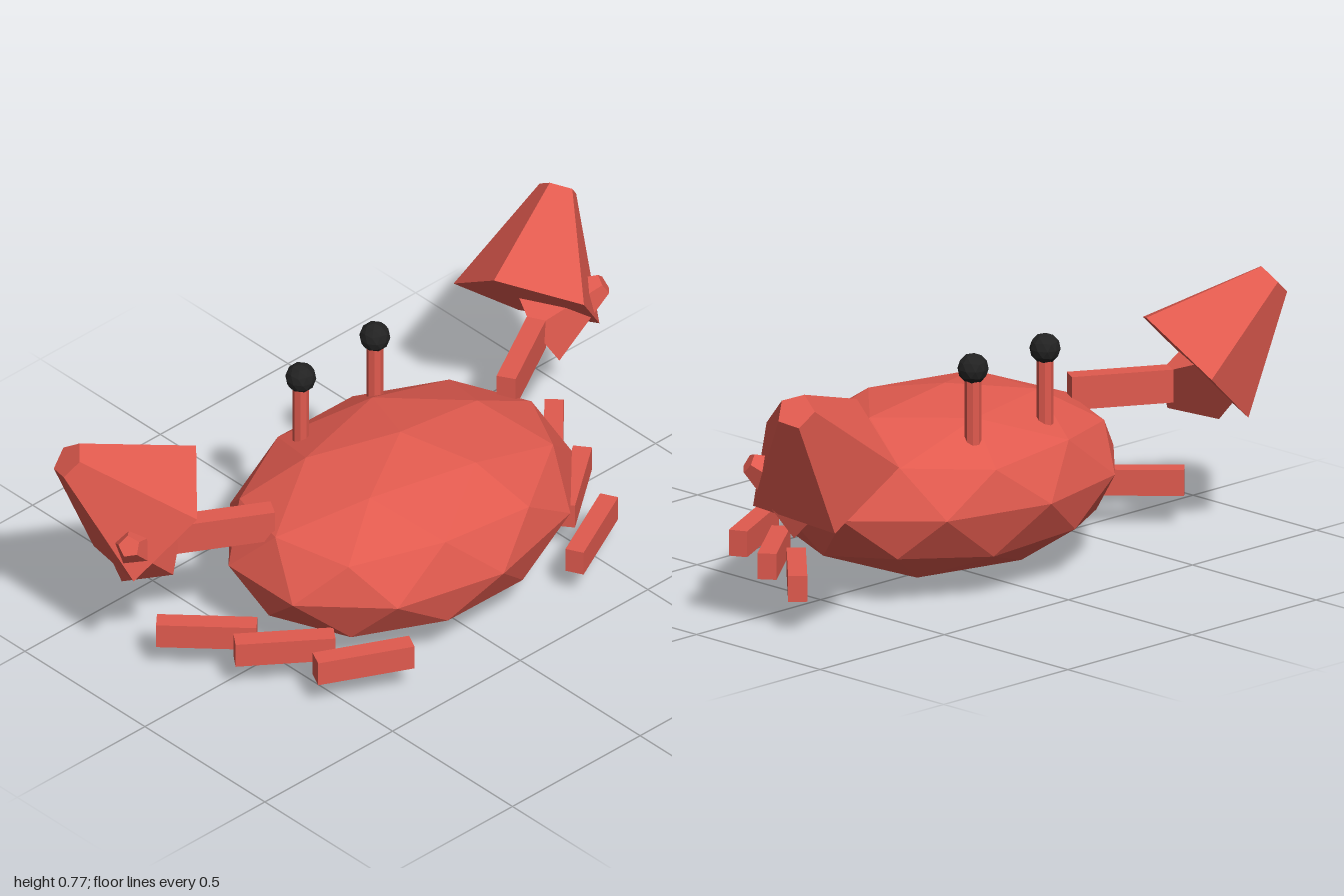
import * as THREE from 'three';

const shell = new THREE.MeshStandardMaterial({ color: 0xe05a4e, flatShading: true });
const black = new THREE.MeshStandardMaterial({ color: 0x222222, flatShading: true });

function addMesh(parent, name, geometry, material, x, y, z) {
  const mesh = new THREE.Mesh(geometry, material);
  mesh.name = name;
  mesh.position.set(x, y, z);
  parent.add(mesh);
  return mesh;
}

// Once-divided icosahedron with a vertex at each pole
function poleSphere() {
  const v = [0, 1, 0];
  const h = Math.sqrt(0.2);
  for (const [y, start] of [[h, 0], [-h, Math.PI / 5]]) {
    for (let i = 0; i < 5; i++) {
      const a = start + (i * Math.PI * 2) / 5;
      v.push(2 * h * Math.cos(a), y, -2 * h * Math.sin(a));
    }
  }
  v.push(0, -1, 0);
  const f = [];
  for (let i = 0; i < 5; i++) {
    const j = (i + 1) % 5;
    f.push(0, 1 + i, 1 + j, 1 + i, 6 + i, 1 + j);
    f.push(1 + j, 6 + i, 6 + j, 11, 6 + j, 6 + i);
  }
  return new THREE.PolyhedronGeometry(v, f, 1, 1);
}

// Five-sided tapered pincer from base to tip; ref points toward one edge
function addPincer(parent, name, side, base, tip, rBase, rTip, ref) {
  const vec = ([x, y, z]) => new THREE.Vector3(side * x, y, z);
  const a = vec(base), b = vec(tip);
  const axis = b.clone().sub(a);
  const geometry = new THREE.CylinderGeometry(rTip, rBase, axis.length(), 5);
  axis.normalize();
  const out = vec(ref);
  out.addScaledVector(axis, -out.dot(axis)).normalize();
  const across = axis.clone().cross(out);
  const mid = a.add(b).multiplyScalar(0.5);
  const mesh = addMesh(parent, name, geometry, shell, mid.x, mid.y, mid.z);
  mesh.quaternion.setFromRotationMatrix(new THREE.Matrix4().makeBasis(across, axis, out));
}

export function createModel() {
  const crab = new THREE.Group();
  crab.name = 'crab';

  // Body
  addMesh(crab, 'body', poleSphere().scale(0.575, 0.271, 0.432), shell, 0, 0.275, 0);

  // Leg centre x, centre z and turn in degrees
  const legs = [[0.679, -0.084, 46], [0.567, 0.121, 37], [0.447, 0.323, 26.6]];

  for (const side of [1, -1]) {
    const half = new THREE.Group();
    half.name = side > 0 ? 'leftLimbs' : 'rightLimbs';
    crab.add(half);

    // Legs
    for (const [x, z, deg] of legs) {
      const leg = addMesh(half, 'leg', new THREE.BoxGeometry(0.287, 0.077, 0.055), shell, side * x, 0.133, z);
      leg.rotation.y = side * THREE.MathUtils.degToRad(deg);
    }

    // Arm
    const arm = addMesh(half, 'arm', new THREE.BoxGeometry(0.3, 0.098, 0.057), shell, side * 0.587, 0.436, -0.12);
    arm.rotation.y = side * THREE.MathUtils.degToRad(30);

    // Claw
    addPincer(half, 'upperPincer', side, [0.743, 0.505, -0.25], [0.961, 0.735, -0.362], 0.228, 0.057, [-0.041, 0.042, 0.005]);
    addPincer(half, 'lowerPincer', side, [0.777, 0.413, -0.247], [0.93, 0.53, -0.14], 0.128, 0.032, [0.44, -0.88, -0.13]);

    // Eye on its stalk
    addMesh(half, 'eyeStalk', new THREE.CylinderGeometry(0.024, 0.024, 0.23, 8), shell, side * 0.145, 0.535, -0.26);
    addMesh(half, 'eye', poleSphere().scale(0.045, 0.045, 0.045), black, side * 0.145, 0.673, -0.26);
  }
  return crab;
}
